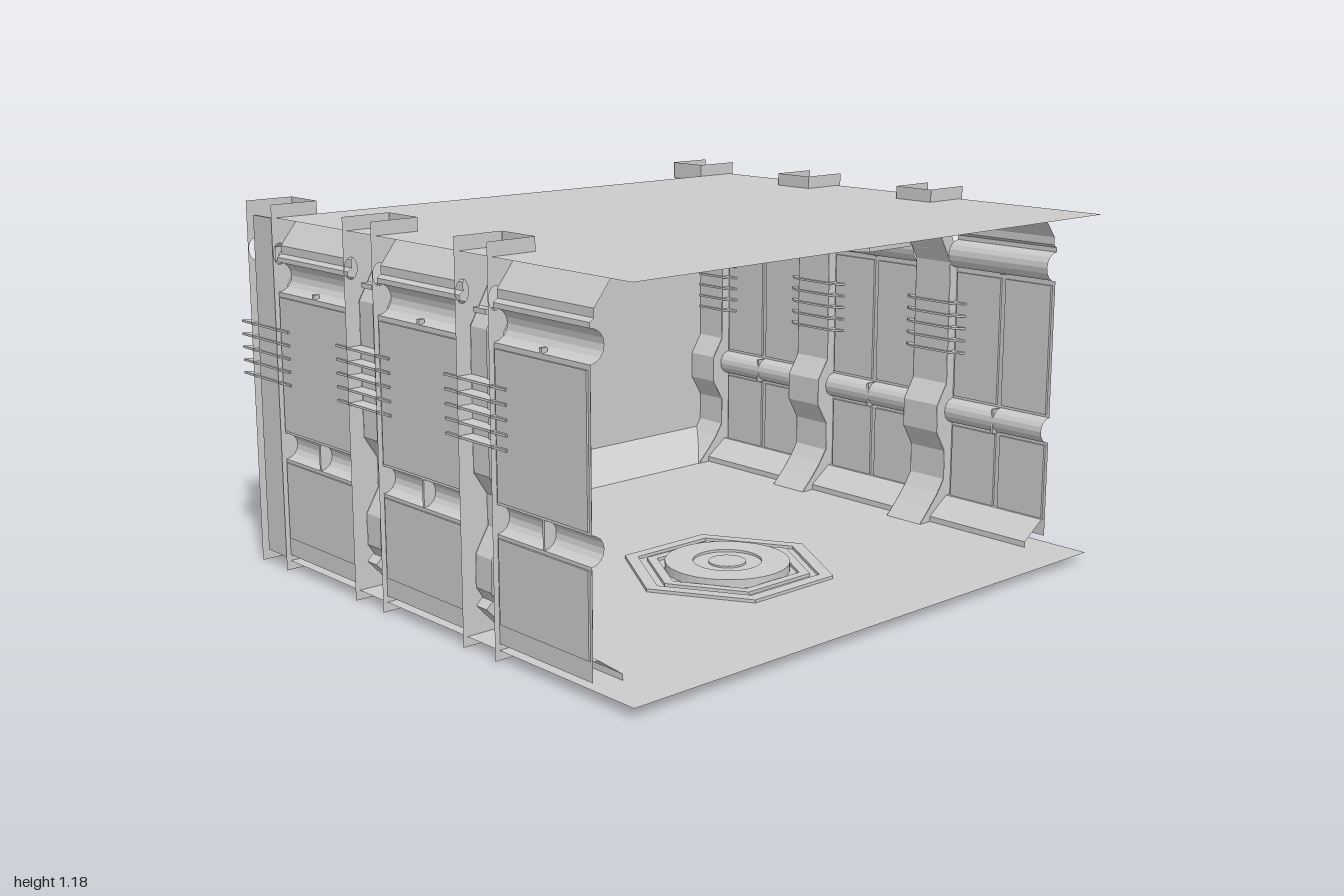
import * as THREE from 'three';

const mat = new THREE.MeshStandardMaterial({ color: 0xcccccc, side: THREE.DoubleSide, flatShading: true });

function add(parent, name, geo, x = 0, y = 0, z = 0) {
  const m = new THREE.Mesh(geo, mat);
  m.name = name;
  m.position.set(x, y, z);
  parent.add(m);
  return m;
}
const box = (w, h, d) => new THREE.BoxGeometry(w, h, d);
const shapeOf = pts => new THREE.Shape(pts.map(p => new THREE.Vector2(p[0], p[1])));

// thin sheet: an open profile swept straight along z (or along x for the end wall)
function sheet(profile, a, b, alongX = false) {
  const pos = [];
  const put = (p, t) => alongX ? pos.push(t, p[1], p[0]) : pos.push(p[0], p[1], t);
  for (let i = 0; i < profile.length - 1; i++) {
    const p = profile[i], q = profile[i + 1];
    put(p, a); put(p, b); put(q, b);
    put(p, a); put(q, b); put(q, a);
  }
  const g = new THREE.BufferGeometry();
  g.setAttribute('position', new THREE.Float32BufferAttribute(pos, 3));
  g.computeVertexNormals();
  return g;
}

// flat plate with an optional bore, extruded upward
function prism(r, h, sides, bore = 0) {
  const ring = rad => Array.from({ length: sides }, (_, i) => {
    const t = i / sides * Math.PI * 2;
    return new THREE.Vector2(Math.cos(t) * rad, Math.sin(t) * rad);
  });
  const s = new THREE.Shape(ring(r));
  if (bore) s.holes.push(new THREE.Path(ring(bore)));
  return new THREE.ExtrudeGeometry(s, { depth: h, bevelEnabled: false }).rotateX(-Math.PI / 2);
}

// inner line of a rib, bottom to top
const ribLine = [[0.83, 0], [0.83, 0.03], [0.88, 0.08], [0.92, 0.125], [0.95, 0.17], [0.95, 0.27],
  [0.905, 0.345], [0.905, 0.44], [0.95, 0.51], [0.95, 0.93], [0.835, 1.13], [0.835, 1.185]];

function makeRib(z, closed) {
  const rib = new THREE.Group();
  rib.name = closed ? 'endRib' : 'wallRib';
  rib.position.z = z;
  add(rib, 'ribWeb', sheet(ribLine, -0.074, 0.074));
  // side plates with an oval cable hole
  const s = shapeOf([...ribLine, [1, 1.185], [1, 0]]);
  const hole = new THREE.Path();
  hole.absellipse(0.975, 1.03, 0.022, 0.034, 0, Math.PI * 2);
  s.holes.push(hole);
  for (const side of [-0.075, 0.075]) add(rib, 'ribFlange', new THREE.ShapeGeometry(s, 8), 0, 0, side);
  // narrow raised strip following the web
  const strip = ribLine.slice(1, -1).map(p => [p[0] + 0.008, p[1]]);
  add(rib, 'ribStrip', sheet(strip, 0.008, 0.028));
  // cooling fins: thin plates with rounded inner corners
  const f = new THREE.Shape();
  f.moveTo(0.998, -0.14);
  f.quadraticCurveTo(0.95, -0.125, 0.943, -0.07);
  f.lineTo(0.943, 0.07);
  f.quadraticCurveTo(0.95, 0.125, 0.998, 0.14);
  const fin = new THREE.ExtrudeGeometry(f, { depth: 0.007, bevelEnabled: false, curveSegments: 6 }).rotateX(Math.PI / 2);
  for (let i = 0; i < 5; i++) add(rib, 'coolingFin', fin, 0, 0.624 + i * 0.0425, 0);
  // foot block and upper latch
  add(rib, 'footBlock', box(0.03, 0.1, 0.05), 0.925, 0.1, -0.025).rotation.z = -0.75;
  add(rib, 'upperLatch', box(0.03, 0.015, 0.055), 0.94, 0.98, -0.025);
  if (closed) add(rib, 'endCover', box(0.008, 1.1, 0.115), 0.99, 0.592, 0.013);
  return rib;
}

// wall line with two round channels that bulge into the room
const channel = (y0, y1) => Array.from({ length: 9 }, (_, i) => {
  const t = i / 8 * Math.PI, r = (y1 - y0) / 2;
  return [0.984 - Math.sin(t) * r, (y0 + y1) / 2 - Math.cos(t) * r];
});
const wallLine = [[0.984, 0.05], ...channel(0.37, 0.455), ...channel(0.91, 1.005),
  [0.984, 1.02], [0.97, 1.03], [0.97, 1.055], [0.9, 1.143]];

function makeWall(z0, z1) {
  const wall = new THREE.Group(), mid = (z0 + z1) / 2, len = z1 - z0;
  wall.name = 'wallSection';
  add(wall, 'wallPanel', sheet(wallLine, z0, z1));
  add(wall, 'skirting', sheet([[0.98, 0.11], [0.965, 0.11], [0.88, 0.05], [0.88, 0.031]], z0, z1));
  // overlaid plates on the outside and inside
  for (const [y, h] of [[0.235, 0.25], [0.68, 0.43]]) {
    add(wall, 'outerPlate', box(0.006, h, len - 0.02), 0.987, y, mid);
    for (const s of [-1, 1]) add(wall, 'innerPlate', box(0.008, h, len / 2 - 0.02), 0.979, y, mid + s * len / 4);
  }
  add(wall, 'channelDivider', box(0.04, 0.085, 0.008), 0.963, 0.4125, mid);
  add(wall, 'channelTab', box(0.02, 0.015, 0.012), 0.975, 0.918, mid);
  return wall;
}

// label plate lying on the sloped part of the end wall
function makeLabel(top) {
  const g = new THREE.Group();
  g.name = 'labelPlate';
  const s = shapeOf([[-0.105, -0.07], [0.105, -0.07], [0.085, 0.07], [-0.085, 0.07]]);
  add(g, 'plate', new THREE.ExtrudeGeometry(s, { depth: 0.012, bevelEnabled: false }));
  add(g, 'boss', new THREE.CylinderGeometry(0.012, 0.012, 0.008, 6).rotateX(Math.PI / 2), 0, -0.01, 0.014);
  for (const x of [-0.045, -0.03, 0.03, 0.045]) add(g, 'stud', box(0.009, 0.014, 0.006), x, -0.01, 0.014);
  g.position.set(0, top ? 1.087 : 0.098, -0.797);
  g.rotation.x = -Math.PI / 4;
  if (top) g.rotation.set(Math.PI / 4, 0, Math.PI, 'XYZ');
  return g;
}

export function createModel() {
  const room = new THREE.Group();
  room.name = 'roomModule';

  // floor and ceiling sheets
  add(room, 'floor', sheet([[-0.985, 0.03], [0.985, 0.03]], -0.74, 0.945));
  add(room, 'ceiling', sheet([[-0.985, 1.143], [0.985, 1.143]], -0.74, 0.945));

  // both sides: ribs and the wall sections between them
  for (const s of [1, -1]) {
    const side = new THREE.Group();
    side.name = s > 0 ? 'leftSide' : 'rightSide';
    side.scale.x = s;
    for (const z of [0.298, -0.258]) side.add(makeRib(z, false));
    side.add(makeRib(-0.811, true));
    for (const [a, b] of [[0.375, 0.78], [-0.182, 0.222], [-0.735, -0.335]]) side.add(makeWall(a, b));
    room.add(side);
  }

  // end wall with sloped top and bottom
  add(room, 'endWall', sheet([[-0.74, 0.03], [-0.858, 0.14], [-0.858, 1.033], [-0.74, 1.143]], -0.985, 0.985, true));
  const sidePanel = [[0.355, 1.025], [0.83, 1.025], [0.925, 0.94], [0.925, 0.25], [0.83, 0.15], [0.475, 0.15]];
  const midPanel = [[-0.285, 1.025], [0.285, 1.025], [0.405, 0.15], [-0.405, 0.15]];
  for (const [name, pts] of [['endPanelMiddle', midPanel], ['endPanelLeft', sidePanel],
    ['endPanelRight', sidePanel.map(p => [-p[0], p[1]])]]) {
    add(room, name, new THREE.ExtrudeGeometry(shapeOf(pts), { depth: 0.015, bevelEnabled: false }), 0, 0, -0.876);
  }
  room.add(makeLabel(true), makeLabel(false));

  // hexagonal floor hatch with a round pad and a rim below
  const hatch = new THREE.Group();
  hatch.name = 'floorHatch';
  hatch.position.z = 0.275;
  add(hatch, 'outerFrame', prism(0.345, 0.01, 6, 0.3), 0, 0.031, 0);
  add(hatch, 'innerFrame', prism(0.27, 0.01, 6, 0.235), 0, 0.031, 0);
  add(hatch, 'lowerRim', prism(0.275, 0.02, 6, 0.25), 0, 0.01, 0);
  add(hatch, 'pad', prism(0.2, 0.028, 40, 0.11), 0, 0.031, 0);
  add(hatch, 'padRing', prism(0.11, 0.02, 40, 0.06), 0, 0.031, 0);
  add(hatch, 'padCentre', prism(0.06, 0.026, 32), 0, 0.031, 0);
  room.add(hatch);

  // ceiling lamp near the open end
  add(room, 'ceilingLamp', prism(0.175, 0.015, 6), 0, 1.126, 0.77);
  return room;
}
